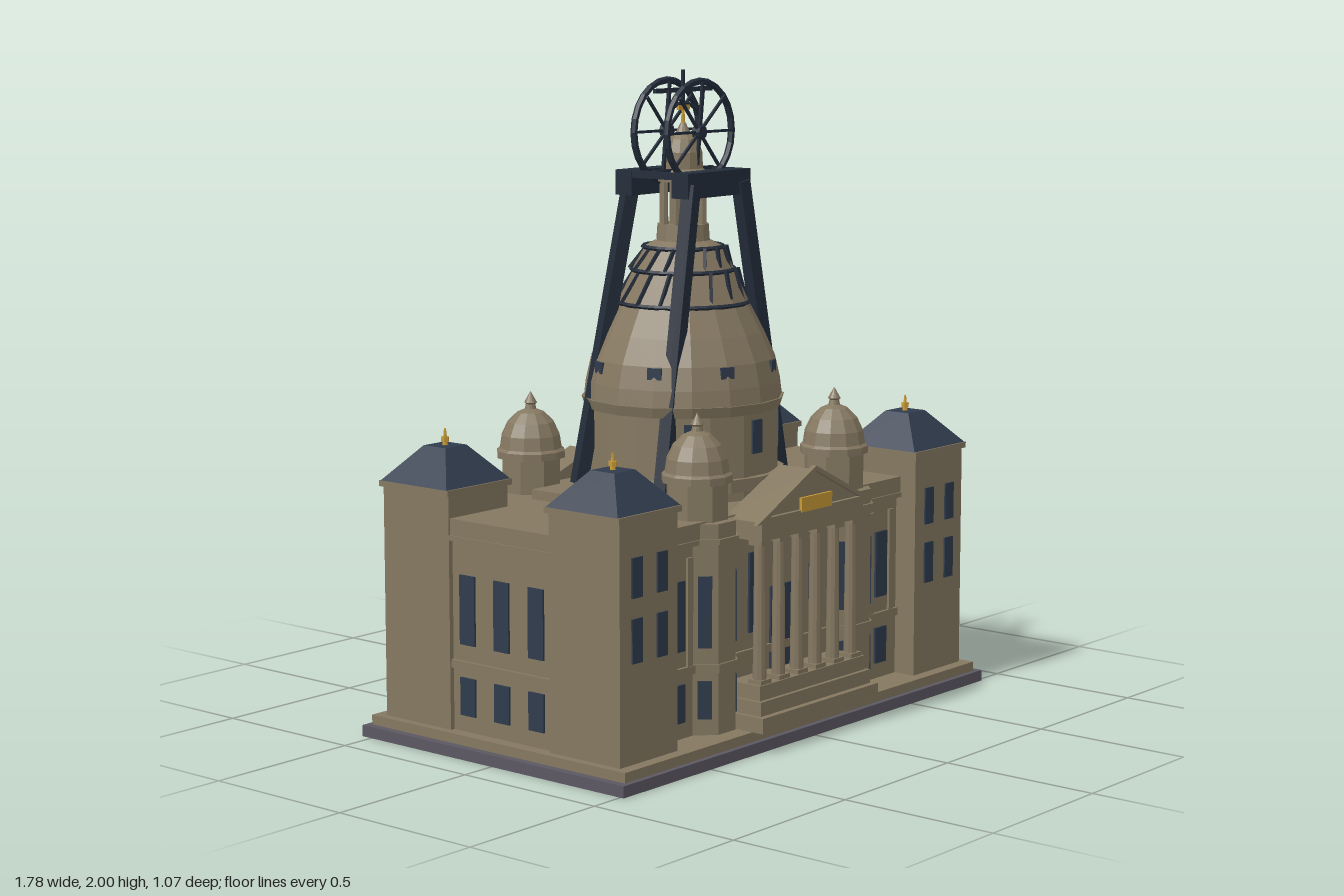
import * as THREE from 'three';

const mat = (name, color) => {
  const m = new THREE.MeshStandardMaterial({ color });
  m.name = name;
  return m;
};

export function createModel() {
  const stone = mat('sandstone', 0x857861);
  const slate = mat('slate blue', 0x2f3b4c);
  const iron = mat('dark iron', 0x242d3b);
  const gold = mat('gold', 0xc79a35);
  const granite = mat('granite', 0x5b5862);
  const root = new THREE.Group();
  root.name = 'domedHall';
  const model = new THREE.Group();
  model.name = 'building';
  model.position.z = -0.012;
  root.add(model);

  // Helpers
  const add = (name, geo, m, x = 0, y = 0, z = 0, ry = 0) => {
    const g = geo.index ? geo.toNonIndexed() : geo;
    g.computeVertexNormals(); // faceted look
    const mesh = new THREE.Mesh(g, m);
    mesh.name = name;
    mesh.position.set(x, y, z);
    mesh.rotation.y = ry;
    model.add(mesh);
    return mesh;
  };
  // Box from its ranges
  const box = (name, m, x0, x1, y0, y1, z0, z1) =>
    add(name, new THREE.BoxGeometry(x1 - x0, y1 - y0, z1 - z0), m, (x0 + x1) / 2, (y0 + y1) / 2, (z0 + z1) / 2);
  const wide = (name, m, hx, y0, y1, z0, z1) => box(name, m, -hx, hx, y0, y1, z0, z1);
  const cyl = (name, m, rt, rb, y0, y1, n, x = 0, z = 0, ry = 0) =>
    add(name, new THREE.CylinderGeometry(rt, rb, y1 - y0, n), m, x, (y0 + y1) / 2, z, ry);
  // Thin pane, facing +z before turning by ry
  const pane = (x, y0, y1, z, w, ry = 0) =>
    add('window', new THREE.BoxGeometry(w, y1 - y0, 0.009), slate, x, (y0 + y1) / 2, z, ry);
  const beam = (name, m, a, b, w, d = w) => {
    const p = new THREE.Vector3(...a), q = new THREE.Vector3(...b);
    const mesh = add(name, new THREE.BoxGeometry(w, d, p.distanceTo(q)), m);
    mesh.position.copy(p).lerp(q, 0.5);
    mesh.lookAt(q);
    return mesh;
  };
  const lathe = (name, m, pts, n, x = 0, z = 0) =>
    add(name, new THREE.LatheGeometry(pts.map(p => new THREE.Vector2(...p)), n), m, x, 0, z);
  const ring = (name, m, r, t, y) => {
    const geo = new THREE.TorusGeometry(r, t, 4, 24).rotateX(Math.PI / 2);
    return add(name, geo, m, 0, y, 0);
  };
  const gable = (name, hw, y0, y1, z0, z1, hole = 0) => {
    const s = new THREE.Shape([new THREE.Vector2(-hw, y0), new THREE.Vector2(hw, y0), new THREE.Vector2(0, y1)]);
    if (hole) {
      const k = y0 + 0.016;
      s.holes.push(new THREE.Path([new THREE.Vector2(-hw * hole, k), new THREE.Vector2(0, k + (y1 - y0) * hole), new THREE.Vector2(hw * hole, k)]));
    }
    add(name, new THREE.ExtrudeGeometry(s, { depth: z1 - z0, bevelEnabled: false }), stone, 0, 0, z0);
  };
  const sides = [-1, 1];

  // Base and main block
  wide('base', granite, 0.89, 0, 0.035, -0.525, 0.525);
  wide('plinth', stone, 0.865, 0.035, 0.065, -0.508, 0.508);
  wide('mainBlock', stone, 0.825, 0.065, 0.7, -0.395, 0.395);
  wide('stringCourse', stone, 0.835, 0.255, 0.28, -0.405, 0.405);
  wide('cornice', stone, 0.84, 0.64, 0.655, -0.415, 0.415);
  wide('parapet', stone, 0.835, 0.655, 0.705, -0.41, 0.41);
  wide('domeTerrace', stone, 0.45, 0.7, 0.735, -0.225, 0.225);

  for (const sx of sides) {
    // Side windows
    for (const z of [-0.137, 0, 0.137]) {
      pane(sx * 0.827, 0.115, 0.23, z, 0.06, Math.PI / 2).position.z = z;
      pane(sx * 0.827, 0.33, 0.54, z, 0.06, Math.PI / 2).position.z = z;
    }
    for (const sz of sides) {
      // Corner towers
      const tx = sx * 0.713, tz = sz * 0.334;
      box('cornerTower', stone, tx - 0.127, tx + 0.127, 0.065, 0.78, tz - 0.135, tz + 0.135);
      box('towerCornice', stone, tx - 0.138, tx + 0.138, 0.772, 0.79, tz - 0.143, tz + 0.143);
      cyl('towerRoof', slate, 0.064, 0.194, 0.79, 0.895, 4, tx, tz, Math.PI / 4);
      cyl('towerFinial', gold, 0.003, 0.009, 0.895, 0.945, 6, tx, tz);
      cyl('finialKnob', gold, 0.013, 0.013, 0.905, 0.92, 6, tx, tz);
      for (const dx of [-0.055, 0.055])
        for (const [y0, y1] of [[0.36, 0.49], [0.55, 0.667]]) pane(tx + dx, y0, y1, sz * 0.47, 0.045);

      // Recessed bay with framed windows
      pane(sx * 0.5, 0.115, 0.23, sz * 0.398, 0.058);
      pane(sx * 0.5, 0.33, 0.54, sz * 0.398, 0.058);
      for (const dx of [-0.052, 0.052])
        box('bayPilaster', stone, sx * 0.5 + dx - 0.012, sx * 0.5 + dx + 0.012, 0.28, 0.605, sz * 0.395 - 0.008, sz * 0.395 + 0.008);

      // Eight-sided stair turrets with small domes
      const ux = sx * 0.335, uz = sz * 0.352, dz = sz * 0.334;
      cyl('turret', stone, 0.105, 0.105, 0.065, 0.7, 8, ux, uz, Math.PI / 8);
      cyl('turretBand', stone, 0.112, 0.112, 0.255, 0.28, 8, ux, uz, Math.PI / 8);
      cyl('turretCornice', stone, 0.114, 0.114, 0.64, 0.655, 8, ux, uz, Math.PI / 8);
      cyl('turretDrum', stone, 0.095, 0.095, 0.7, 0.82, 8, ux, dz, Math.PI / 8);
      lathe('turretDome', stone, [[0.107, 0.81], [0.107, 0.832], [0.098, 0.84], [0.092, 0.88], [0.073, 0.92], [0.042, 0.95], [0.018, 0.96], [0.015, 0.975], [0.02, 0.98], [0, 1.015]], 12, ux, dz);
      for (const d of sides) {
        const nx = d * Math.SQRT1_2, nz = sz * Math.SQRT1_2, a = 0.099;
        for (const [y0, y1] of [[0.115, 0.23], [0.33, 0.545]])
          pane(ux + nx * a, y0, y1, uz + nz * a, 0.042, Math.atan2(nx, nz));
      }
    }
  }

  // Front portico
  wide('lowerStep', stone, 0.287, 0.065, 0.112, 0.39, 0.548);
  wide('middleStep', stone, 0.272, 0.112, 0.155, 0.39, 0.528);
  wide('upperStep', stone, 0.26, 0.155, 0.2, 0.39, 0.515);
  for (let i = 0; i < 6; i++) {
    const x = -0.225 + i * 0.09;
    cyl('column', stone, 0.017, 0.021, 0.2, 0.635, 10, x, 0.485);
    box('columnBase', stone, x - 0.025, x + 0.025, 0.2, 0.213, 0.46, 0.51);
    box('columnCapital', stone, x - 0.024, x + 0.024, 0.62, 0.636, 0.461, 0.509);
  }
  pane(0, 0.2, 0.455, 0.398, 0.13).name = 'door';
  for (const x of [-0.15, 0.15]) pane(x, 0.33, 0.575, 0.398, 0.04);
  wide('entablature', stone, 0.25, 0.635, 0.7, 0.38, 0.512);
  gable('pediment', 0.265, 0.695, 0.82, 0.38, 0.508);
  gable('pedimentFrame', 0.285, 0.69, 0.832, 0.505, 0.522, 0.78);
  wide('goldPanel', gold, 0.075, 0.7, 0.744, 0.516, 0.525);

  // Rear pavilion
  wide('rearPavilion', stone, 0.235, 0.065, 0.7, -0.468, -0.38);
  gable('rearGable', 0.24, 0.7, 0.785, -0.474, -0.38);

  // Drum, with windows all round except behind the side roofs
  cyl('drum', stone, 0.295, 0.295, 0.7, 0.975, 16, 0, 0, Math.PI / 16);
  cyl('drumFoot', stone, 0.315, 0.315, 0.735, 0.775, 16);
  cyl('drumCornice', stone, 0.315, 0.305, 0.968, 1.0, 16);
  for (let i = 0; i < 8; i++) {
    const a = i * Math.PI / 4;
    if (i % 4 !== 2) pane(Math.sin(a) * 0.292, 0.845, 0.948, Math.cos(a) * 0.292, 0.045, a);
    // Dormers between the windows
    const b = a + Math.PI / 8;
    add('dormer', new THREE.BoxGeometry(0.045, 0.035, 0.035), slate, Math.sin(b) * 0.275, 1.1, Math.cos(b) * 0.275, b);
  }

  // Main dome with an iron lattice on its upper part
  const profile = [[0.308, 1.0], [0.302, 1.05], [0.286, 1.12], [0.25, 1.2], [0.203, 1.29], [0.158, 1.39], [0.122, 1.46], [0.085, 1.48]];
  lathe('dome', stone, profile, 16);
  const rings = [[0.205, 1.29], [0.16, 1.39], [0.124, 1.46]];
  for (const [r, y] of rings) ring('latticeRing', iron, r, 0.007, y);
  for (let i = 0; i < 16; i++) {
    const a = i * Math.PI / 8, s = Math.sin(a), c = Math.cos(a);
    for (let k = 0; k < 2; k++) {
      const [r0, y0] = rings[k], [r1, y1] = rings[k + 1];
      beam('latticeRib', iron, [s * r0, y0, c * r0], [s * r1, y1, c * r1], 0.01);
    }
  }

  // Lantern
  cyl('lanternBase', stone, 0.08, 0.085, 1.46, 1.53, 12);
  cyl('lanternCore', stone, 0.042, 0.042, 1.53, 1.67, 8);
  for (let i = 0; i < 8; i++) {
    const a = (i + 0.5) * Math.PI / 4;
    cyl('lanternColumn', stone, 0.012, 0.012, 1.53, 1.67, 6, Math.sin(a) * 0.064, Math.cos(a) * 0.064);
  }
  lathe('lanternDome', stone, [[0, 1.66], [0.08, 1.66], [0.08, 1.685], [0.062, 1.7], [0.06, 1.75], [0.046, 1.79], [0.022, 1.81], [0.01, 1.835], [0, 1.85]], 12);
  cyl('lanternSpire', gold, 0.003, 0.008, 1.83, 1.9, 6);
  wide('goldTip', gold, 0.026, 1.878, 1.893, -0.005, 0.005);

  // Winding tower: raking legs and head beams
  for (const sx of sides)
    for (const sz of sides) {
      beam('towerLeg', iron, [sx * 0.285, 0.735, sz * 0.168], [sx * 0.118, 1.66, sz * 0.12], 0.042);
    }
  for (const s of sides) {
    box('headBeam', iron, -0.15, 0.15, 1.62, 1.697, s * 0.112 - 0.032, s * 0.112 + 0.032);
    box('crossBeam', iron, s * 0.138 - 0.01, s * 0.138 + 0.01, 1.675, 1.697, -0.14, 0.14);

    // Winding wheels
    const z = s * 0.065, cy = 1.812;
    add('wheelRim', new THREE.TorusGeometry(0.155, 0.011, 6, 24), iron, 0, cy, z);
    add('wheelHub', new THREE.CylinderGeometry(0.02, 0.02, 0.03, 8).rotateX(Math.PI / 2), iron, 0, cy, z);
    for (let i = 0; i < 4; i++) {
      const a = i * Math.PI / 4, dx = Math.cos(a) * 0.152, dy = Math.sin(a) * 0.152;
      beam('wheelSpoke', iron, [-dx, cy - dy, z], [dx, cy + dy, z], 0.008);
    }
    beam('wheelPost', iron, [s * 0.08, 1.69, 0], [s * 0.08, 1.94, 0], 0.01);
  }
  // Centre frame between the wheels
  add('innerRing', new THREE.TorusGeometry(0.088, 0.006, 4, 20), iron, 0, 1.812, 0);
  wide('topBar', iron, 0.135, 1.932, 1.946, -0.006, 0.006);
  wide('frameBar', iron, 0.14, 1.69, 1.7, -0.008, 0.008);
  wide('mast', iron, 0.005, 1.89, 2.0, -0.004, 0.004);

  return root;
}
